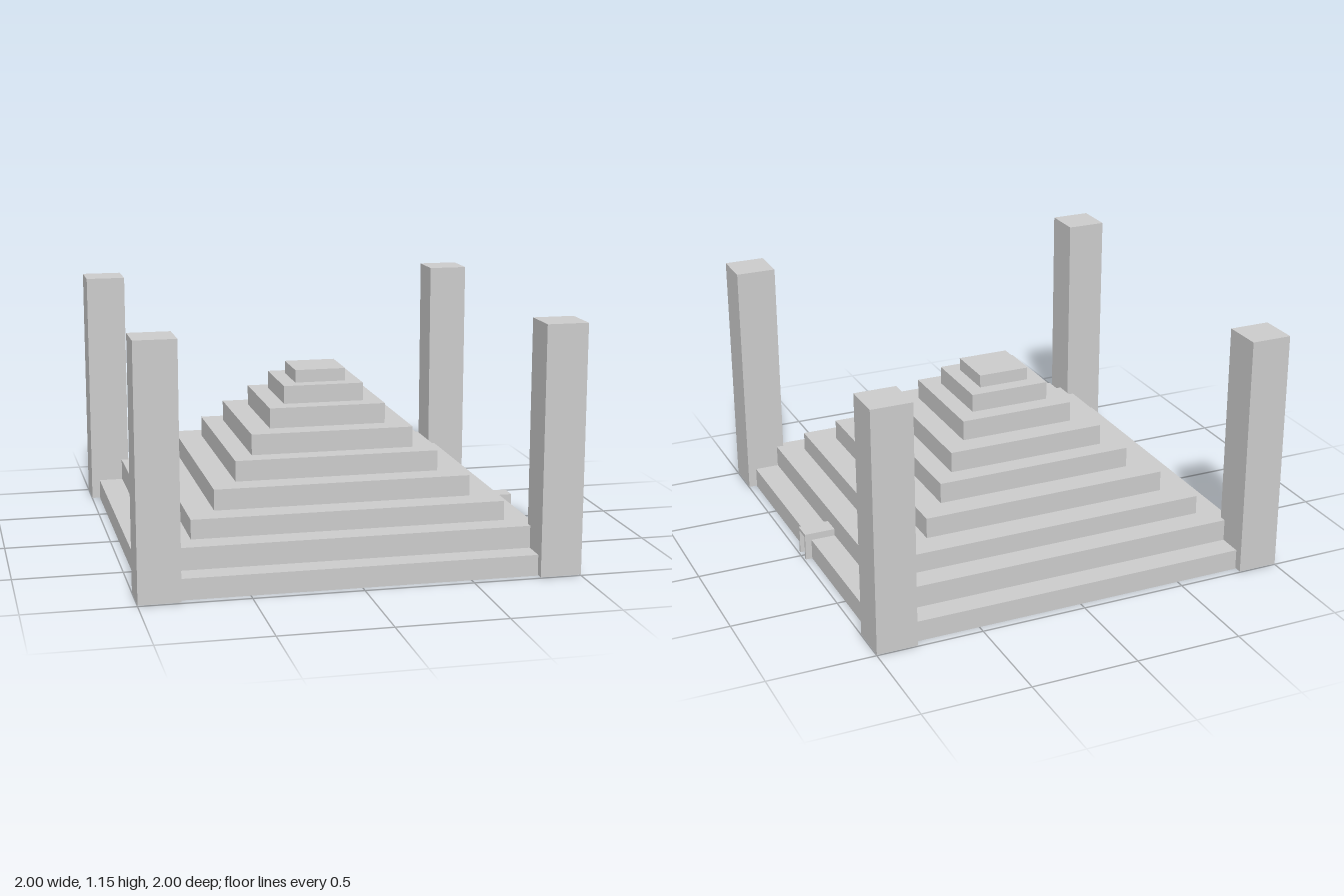
import * as THREE from 'three';

export function createModel() {
  const group = new THREE.Group();
  const material = new THREE.MeshStandardMaterial({ color: 0xcccccc, flatShading: true });

  // Box standing on y0, centred on x and z
  function addBox(name, width, y0, y1, depth, x = 0, z = 0) {
    const mesh = new THREE.Mesh(new THREE.BoxGeometry(width, y1 - y0, depth), material);
    mesh.name = name;
    mesh.position.set(x, (y0 + y1) / 2, z);
    group.add(mesh);
  }

  // Stepped pyramid: [half width, top height] for each tier
  const tiers = [
    [0.96, 0.097], [0.844, 0.2], [0.724, 0.29], [0.597, 0.387], [0.477, 0.483],
    [0.383, 0.58], [0.276, 0.675], [0.191, 0.76], [0.121, 0.82],
  ];
  let base = 0;
  tiers.forEach(([half, top], i) => {
    addBox(`tier${i + 1}`, half * 2, base, top, half * 2);
    base = top;
  });

  // Square corner pillars
  for (const sx of [-1, 1]) {
    for (const sz of [-1, 1]) {
      const side = sx > 0 ? 'Left' : 'Right';
      addBox(`${sz > 0 ? 'front' : 'back'}${side}Pillar`, 0.19, 0.004, 1.15, 0.19, sx * 0.905, sz * 0.905);
    }
  }

  // Doorway on the +x side: an open frame of two jambs and a lintel
  const frame = new THREE.Shape();
  [[-0.046, 0], [-0.034, 0], [-0.034, 0.115], [0.034, 0.115], [0.034, 0], [0.046, 0], [0.046, 0.13], [-0.046, 0.13]]
    .forEach(([u, v], i) => (i ? frame.lineTo(u, v) : frame.moveTo(u, v)));
  const doorway = new THREE.Mesh(
    new THREE.ExtrudeGeometry(frame, { depth: 0.147, bevelEnabled: false }), material);
  doorway.name = 'doorway';
  doorway.rotation.y = Math.PI / 2;
  doorway.position.x = 0.844;
  group.add(doorway);

  return group;
}
